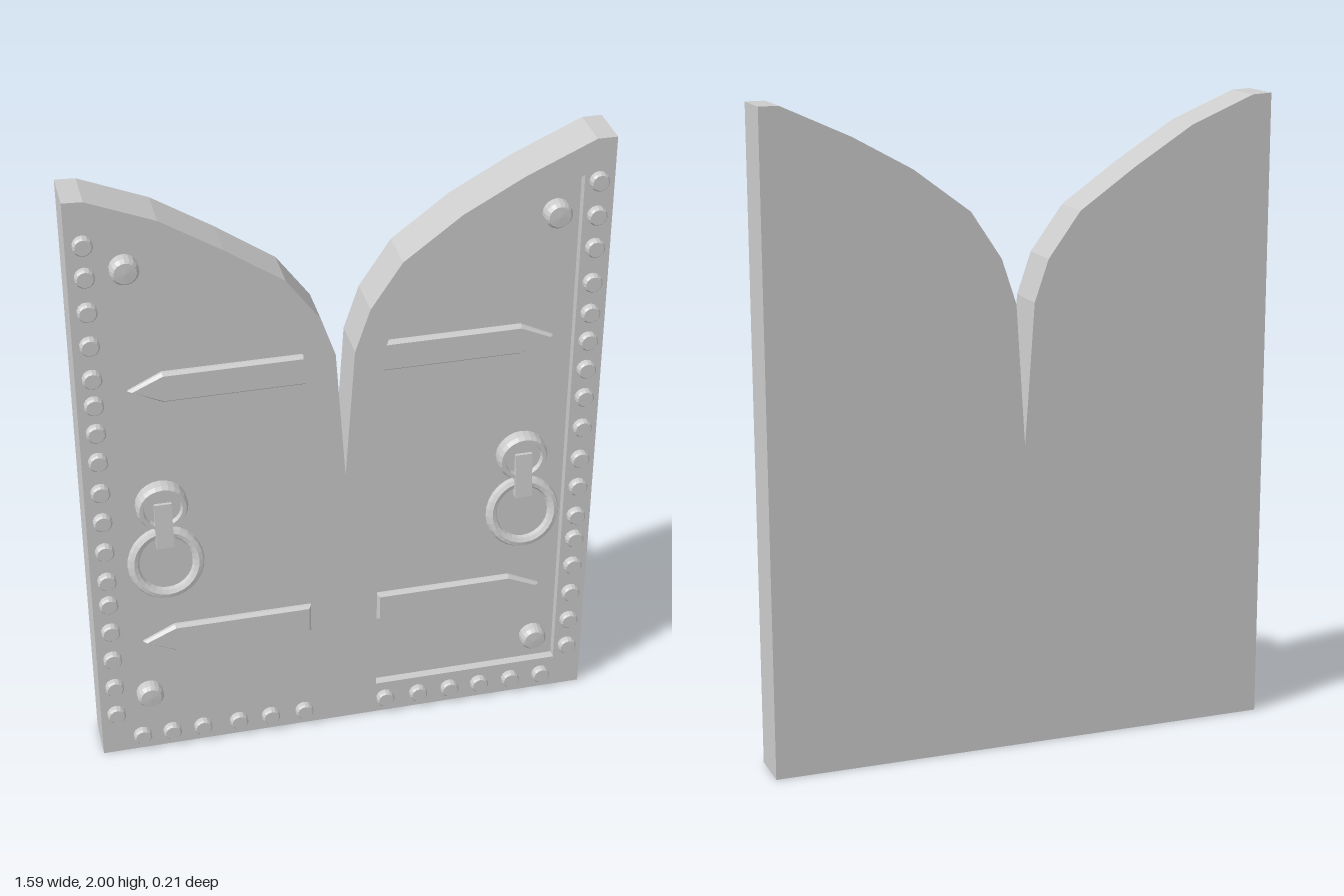
import * as THREE from 'three';

const FRONT = 0.04, BACK = -0.105, PANEL = 0.012;

// Per-leaf measurements; x is the distance from the centre line.
const leaves = [
  {
    name: 'right', side: -1,
    arch: [[0.795, 1.98], [0.735, 1.977], [0.534, 1.894], [0.35, 1.778], [0.175, 1.656], [0.074, 1.518], [0.03, 1.39]],
    inset: [[0.704, 1.862], [0.571, 1.804], [0.386, 1.709], [0.238, 1.603], [0.159, 1.497], [0.127, 1.4], [0.106, 1.1]],
    rivetY: [1.847, 1.746, 1.635, 1.524, 1.413, 1.323, 1.228, 1.127, 1.016, 0.91, 0.799, 0.688, 0.598, 0.492, 0.381, 0.27, 0.16],
    rivetX: [0.667, 0.571, 0.471, 0.354, 0.249, 0.138],
    boltY: [0.206, 1.746], strapY: [0.413, 1.34], handle: [0.564, 0.93],
  },
  {
    name: 'left', side: 1,
    arch: [[0.795, 2], [0.735, 2], [0.526, 1.905], [0.344, 1.804], [0.169, 1.672], [0.074, 1.528], [0.028, 1.39]],
    inset: [[0.704, 1.889], [0.566, 1.836], [0.386, 1.741], [0.238, 1.624], [0.159, 1.508], [0.12, 1.39], [0.102, 1.1]],
    rivetY: [1.868, 1.757, 1.651, 1.534, 1.429, 1.333, 1.233, 1.132, 1.021, 0.905, 0.799, 0.688, 0.598, 0.492, 0.381, 0.27, 0.164],
    rivetX: [0.132, 0.243, 0.349, 0.45, 0.556, 0.661],
    boltY: [0.206, 1.767], strapY: [0.418, 1.352], handle: [0.562, 0.935],
  },
];

export function createModel() {
  const model = new THREE.Group();
  const flat = new THREE.MeshStandardMaterial({ color: 0xcccccc, flatShading: true });

  const add = (parent, name, geometry, x = 0, y = 0, z = 0) => {
    const mesh = new THREE.Mesh(geometry, flat);
    mesh.name = name;
    mesh.position.set(x, y, z);
    parent.add(mesh);
    return mesh;
  };
  const points = (list, side) => list.map(([x, y]) => new THREE.Vector2(x * side, y));
  const extrude = (shape, depth) => new THREE.ExtrudeGeometry(shape, { depth, bevelEnabled: false });

  // Turned part whose profile [radius, height] rises towards +z.
  const turned = (profile, segments) =>
    new THREE.LatheGeometry(points(profile, 1), segments).rotateX(Math.PI / 2);

  const rivet = turned([[0.029, 0], [0.029, 0.016], [0.024, 0.022], [0, 0.022]], 14);
  const bolt = turned([[0.042, 0], [0.042, 0.028], [0.033, 0.04], [0, 0.042]], 18);
  const boss = turned([[0.079, 0], [0.079, 0.03], [0.072, 0.044], [0.06, 0.044], [0.056, 0.03], [0, 0.03]], 24);
  const ring = new THREE.TorusGeometry(0.1, 0.018, 8, 28);

  for (const leaf of leaves) {
    const s = leaf.side;
    const group = new THREE.Group();
    group.name = leaf.name + 'Door';
    model.add(group);

    // Back slab, and the raised border around the sunken panel
    const outline = points([[0, 0], [0.795, 0], ...leaf.arch, [0, 0.955]], s);
    const last = leaf.inset[leaf.inset.length - 1];
    const border = new THREE.Shape(outline);
    border.holes.push(new THREE.Path(points([[last[0], 0.116], [0.704, 0.116], ...leaf.inset], s)));
    add(group, 'doorSlab', extrude(new THREE.Shape(outline), PANEL - BACK), 0, 0, BACK);
    add(group, 'raisedBorder', extrude(border, FRONT - PANEL), 0, 0, PANEL);

    // Rivets along the outer edge and the bottom rail
    for (const y of leaf.rivetY) add(group, 'edgeRivet', rivet, 0.746 * s, y, FRONT);
    for (const x of leaf.rivetX) add(group, 'bottomRivet', rivet, x * s, 0.057, FRONT);

    // Corner bolts on the panel
    for (const y of leaf.boltY) add(group, 'cornerBolt', bolt, 0.633 * s, y, PANEL);

    // Pointed, bevelled straps
    const strapShape = new THREE.Shape(points(
      [[0.115, -0.042], [0.54, -0.042], [0.632, 0], [0.54, 0.042], [0.115, 0.042]], s));
    const strap = new THREE.ExtrudeGeometry(strapShape, {
      depth: 0.008, bevelThickness: 0.01, bevelSize: 0.008, bevelSegments: 1,
    });
    for (const y of leaf.strapY) add(group, 'strap', strap, 0, y, PANEL);

    // Handle: round boss, hanging link and a ring leaning outwards
    const handle = new THREE.Group();
    handle.name = 'ringHandle';
    handle.position.set(leaf.handle[0] * s, leaf.handle[1], PANEL);
    group.add(handle);
    add(handle, 'handleBoss', boss);
    const link = add(handle, 'handleLink', new THREE.BoxGeometry(0.053, 0.15, 0.024), 0, -0.058, 0.037);
    link.rotation.x = -0.1;
    const pull = add(handle, 'pullRing', ring, 0, -0.19, 0.047);
    pull.rotation.x = -0.25;
  }
  return model;
}
